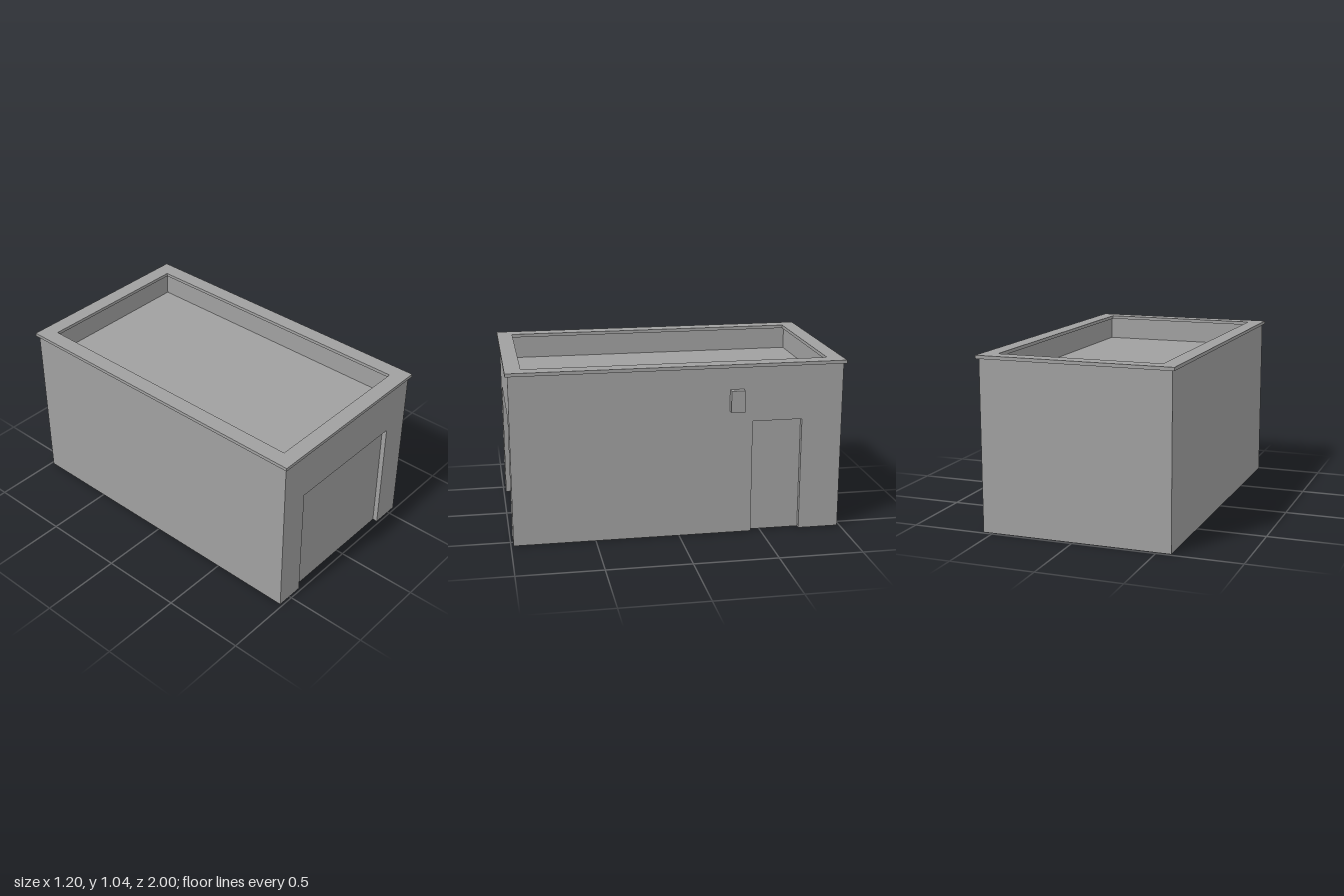
import * as THREE from 'three';

const CX = -0.0125;                    // centre of the building across x
const HALF_W = 0.5725, HALF_L = 0.985; // outer wall half sizes
const WALL_H = 1.02, ROOF_Y = 0.883, TOP_Y = 1.04;
const PARAPET = 0.065, OVERHANG = 0.015, RECESS = 0.03;

const concrete = new THREE.MeshStandardMaterial({ color: 0xa0a0a0, side: THREE.DoubleSide });
concrete.name = 'concrete grey';

function add(parent, name, geometry, x = 0, y = 0, z = 0) {
  const mesh = new THREE.Mesh(geometry, concrete);
  mesh.name = name;
  mesh.position.set(x, y, z);
  parent.add(mesh);
  return mesh;
}

// Thin wall facing local +z, with an optional recessed doorway { u0, u1, top }
function makeWall(name, half, door) {
  const wall = new THREE.Group();
  wall.name = name;
  const s = new THREE.Shape();
  s.moveTo(-half, 0);
  if (door) {
    s.lineTo(door.u0, 0);
    s.lineTo(door.u0, door.top);
    s.lineTo(door.u1, door.top);
    s.lineTo(door.u1, 0);
  }
  s.lineTo(half, 0);
  s.lineTo(half, WALL_H);
  s.lineTo(-half, WALL_H);
  add(wall, name + 'Face', new THREE.ShapeGeometry(s));
  if (door) {
    const { u0, u1, top } = door, w = u1 - u0, mid = (u0 + u1) / 2;
    add(wall, name + 'Door', new THREE.PlaneGeometry(w, top), mid, top / 2, -RECESS);
    add(wall, name + 'JambA', new THREE.PlaneGeometry(RECESS, top).rotateY(Math.PI / 2), u0, top / 2, -RECESS / 2);
    add(wall, name + 'JambB', new THREE.PlaneGeometry(RECESS, top).rotateY(-Math.PI / 2), u1, top / 2, -RECESS / 2);
    add(wall, name + 'Lintel', new THREE.PlaneGeometry(w, RECESS).rotateX(Math.PI / 2), mid, top, -RECESS / 2);
  }
  return wall;
}

function rectangle(path, hw, hl) {
  path.moveTo(-hw, -hl);
  path.lineTo(hw, -hl);
  path.lineTo(hw, hl);
  path.lineTo(-hw, hl);
  path.closePath();
  return path;
}

export function createModel() {
  const model = new THREE.Group();
  model.name = 'garage';

  // Outer walls with the vehicle door in front and the side door
  const walls = [
    ['frontWall', HALF_W, HALF_L, 0, { u0: -0.41 - CX, u1: 0.383 - CX, top: 0.725 }],
    ['sideWall', HALF_L, HALF_W, 1, { u0: 0.44, u1: 0.74, top: 0.69 }],
    ['backWall', HALF_W, HALF_L, 2, null],
    ['plainSideWall', HALF_L, HALF_W, 3, null],
  ];
  for (const [name, half, dist, turn, door] of walls) {
    const wall = makeWall(name, half, door);
    const a = turn * Math.PI / 2;
    wall.rotation.y = a;
    wall.position.set(CX + Math.sin(a) * dist, 0, Math.cos(a) * dist);
    model.add(wall);
  }

  // Sunken roof and the inner faces of the parapet
  const iw = HALF_W - PARAPET, il = HALF_L - PARAPET, ph = WALL_H - ROOF_Y;
  add(model, 'roof', new THREE.PlaneGeometry(iw * 2, il * 2).rotateX(-Math.PI / 2), CX, ROOF_Y, 0);
  for (const s of [-1, 1]) {
    add(model, 'parapetSide', new THREE.PlaneGeometry(il * 2, ph).rotateY(-s * Math.PI / 2),
      CX + s * iw, ROOF_Y + ph / 2, 0);
    add(model, 'parapetEnd', new THREE.PlaneGeometry(iw * 2, ph).rotateY(s > 0 ? Math.PI : 0),
      CX, ROOF_Y + ph / 2, s * il);
  }

  // Coping slab overhanging the parapet on both sides
  const coping = rectangle(new THREE.Shape(), HALF_W + OVERHANG, HALF_L + OVERHANG);
  coping.holes.push(rectangle(new THREE.Path(), iw - OVERHANG, il - OVERHANG));
  add(model, 'coping', new THREE.ExtrudeGeometry(coping, { depth: TOP_Y - WALL_H, bevelEnabled: false })
    .rotateX(-Math.PI / 2), CX, WALL_H, 0);

  // Small box mounted beside the side door
  add(model, 'wallBox', new THREE.BoxGeometry(0.04, 0.13, 0.082), 0.58, 0.823, -0.342);

  return model;
}
